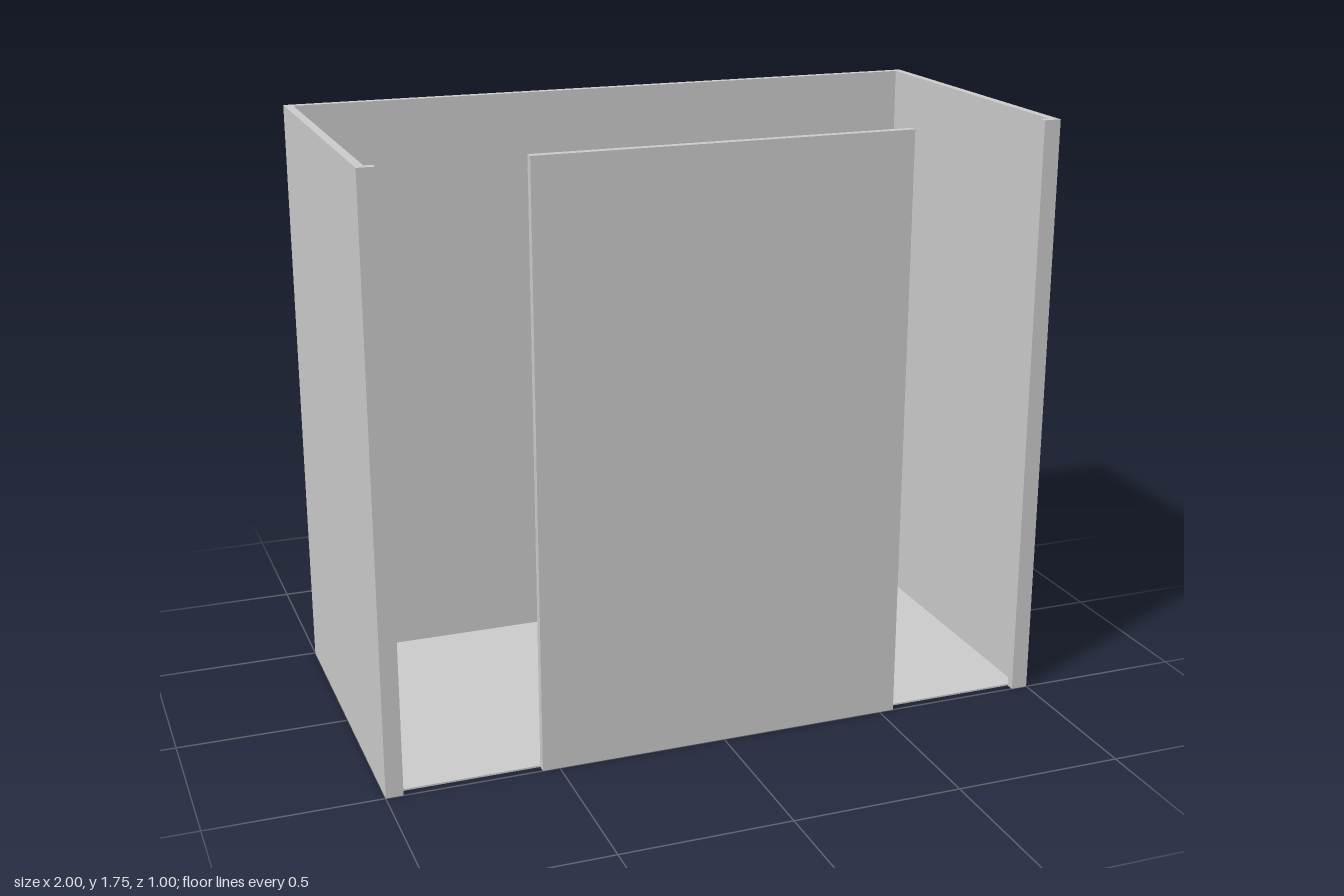
import * as THREE from 'three';

const HEIGHT = 1.75, WALL = 0.025, FLOOR = 0.005;

export function createModel() {
  const group = new THREE.Group();
  const material = new THREE.MeshStandardMaterial({ color: 0xcccccc, flatShading: true });

  // Box given by its x, y and z ranges
  function slab(name, [x0, x1], [y0, y1], [z0, z1]) {
    const mesh = new THREE.Mesh(new THREE.BoxGeometry(x1 - x0, y1 - y0, z1 - z0), material);
    mesh.name = name;
    mesh.position.set((x0 + x1) / 2, (y0 + y1) / 2, (z0 + z1) / 2);
    group.add(mesh);
  }

  const full = [0, HEIGHT];
  const front = [0.5 - WALL, 0.5];

  // Thin floor between the walls, ending behind the front panel
  slab('floor', [-1 + WALL, 1 - WALL], [0, FLOOR], [-0.5 + WALL, 0.5 - WALL]);

  // Back wall between the side walls
  slab('backWall', [-1 + WALL, 1 - WALL], full, [-0.5, -0.5 + WALL]);

  // Side walls, each with a narrow return at the front corner
  for (const [side, s] of [['left', 1], ['right', -1]]) {
    const range = (a, b) => (s > 0 ? [a, b] : [-b, -a]);
    slab(side + 'Wall', range(1 - WALL, 1), full, [-0.5, 0.5]);
    slab(side + 'FrontReturn', range(0.95, 1 - WALL), full, front);
  }

  // Free-standing panel with an opening on either side
  slab('frontPanel', [-0.55, 0.545], full, front);

  return group;
}
